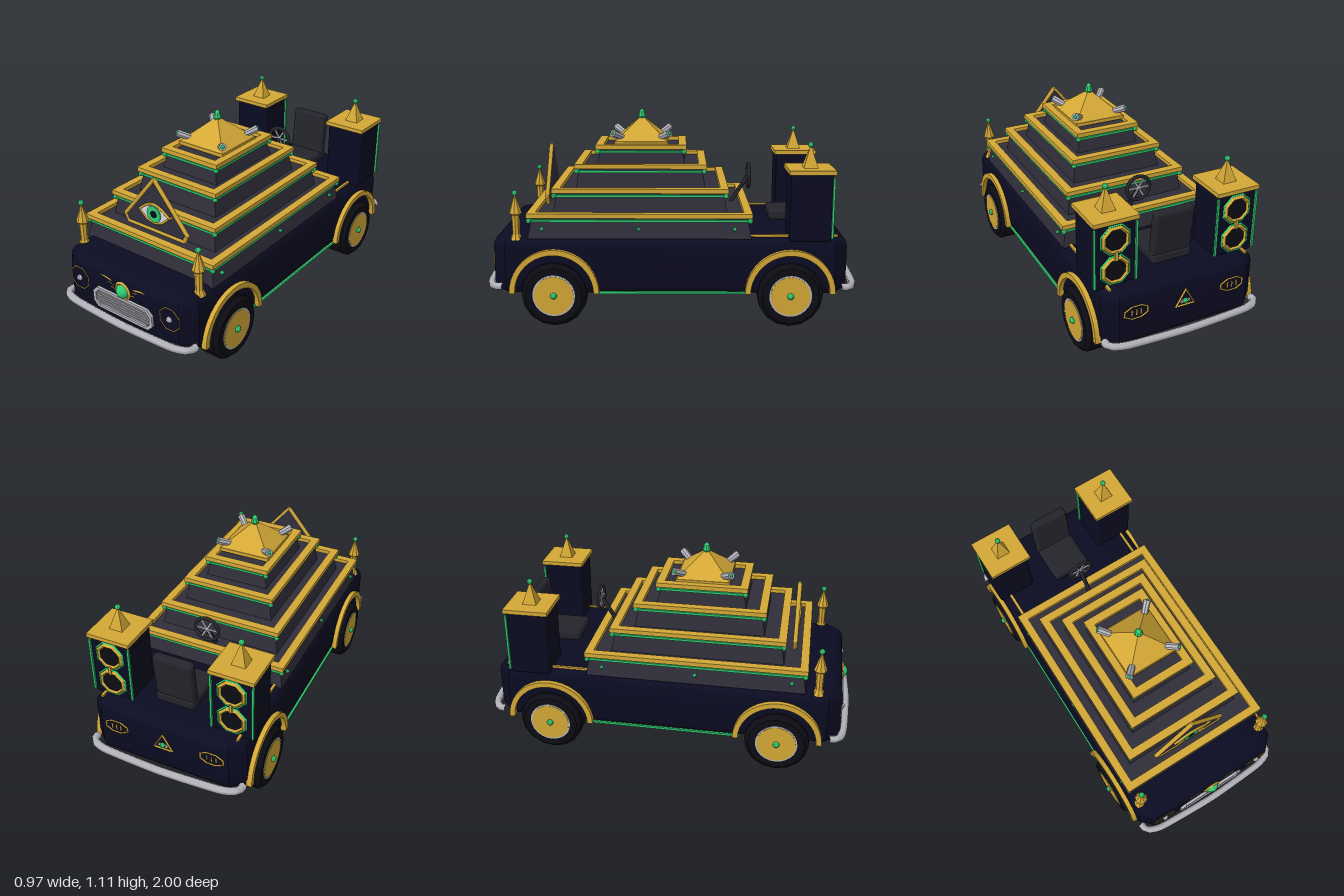
import * as THREE from 'three';
import { toCreasedNormals } from 'three/addons/utils/BufferGeometryUtils.js';
import { RoundedBoxGeometry } from 'three/addons/geometries/RoundedBoxGeometry.js';

const mat = (name, color, side = THREE.FrontSide) =>
  Object.assign(new THREE.MeshStandardMaterial({ color }), { name, side });
const V = (x, y, z) => new THREE.Vector3(x, y, z);

export function createModel() {
  const root = new THREE.Group();
  root.name = 'pyramidCar';
  const navy = mat('navy', 0x0b0b22), stone = mat('darkStone', 0x302e3a);
  const gold = mat('gold', 0xd4a836, THREE.DoubleSide), green = mat('emerald', 0x2ecc71);
  const silver = mat('silver', 0xb4b4bc), white = mat('eyeWhite', 0xd8d8e0, THREE.DoubleSide);
  const tyre = mat('tyreRubber', 0x0c0c14), leather = mat('seatLeather', 0x24242c);

  const add = (name, geo, m, x = 0, y = 0, z = 0, parent = root) => {
    const mesh = new THREE.Mesh(geo, m);
    mesh.name = name;
    mesh.position.set(x, y, z);
    parent.add(mesh);
    return mesh;
  };
  const flat = g => {
    const f = g.index ? g.toNonIndexed() : g;
    f.computeVertexNormals();
    return f;
  };
  const box = (w, h, d) => new THREE.BoxGeometry(w, h, d);
  const ball = r => flat(new THREE.IcosahedronGeometry(r, 1));
  // Tapered block standing on y = 0, given half sizes at the bottom and the top
  const frustum = (w0, d0, w1, d1, h) => {
    const g = box(2, h, 2).translate(0, h / 2, 0), p = g.attributes.position;
    for (let i = 0; i < p.count; i++) {
      const top = p.getY(i) > h / 2;
      p.setX(i, p.getX(i) * (top ? w1 : w0));
      p.setZ(i, p.getZ(i) * (top ? d1 : d0));
    }
    g.computeVertexNormals();
    return g;
  };
  const poly = pts => new THREE.Shape(pts.map(p => new THREE.Vector2(...p)));
  const extrude = (shape, depth) => new THREE.ExtrudeGeometry(shape, { depth, bevelEnabled: false });
  const rectPts = (w, d) => [[-w, -d], [w, -d], [w, d], [-w, d]];
  // Flat rectangular frame standing on y = 0
  const frame = (w, d, t, h) => {
    const s = poly(rectPts(w, d));
    s.holes.push(poly(rectPts(w - t, d - t)));
    return extrude(s, h).rotateX(-Math.PI / 2);
  };
  const ring = (r, t, n = 8) => flat(new THREE.TorusGeometry(r, t, 4, n).rotateZ(Math.PI / n));
  const tube = (pts, r, closed = false, n = 24) =>
    new THREE.TubeGeometry(new THREE.CatmullRomCurve3(pts.map(p => V(...p)), closed, 'catmullrom', 0.3), n, r, 6, closed);
  const rod = (a, b, r) => new THREE.TubeGeometry(new THREE.LineCurve3(V(...a), V(...b)), 1, r, 6);
  const chamfer = (w, h, c) => [[-w + c, -h], [w - c, -h], [w, -h + c], [w, h - c],
    [w - c, h], [-w + c, h], [-w, h - c], [-w, -h + c]];

  // Body: chamfered plan with rounded upper and lower edges
  const bodyGeo = new THREE.ExtrudeGeometry(poly(chamfer(0.43, 0.934, 0.07)), {
    depth: 0.193, bevelThickness: 0.06, bevelSize: 0.055, bevelOffset: -0.055, bevelSegments: 4,
  }).rotateX(-Math.PI / 2);
  add('body', toCreasedNormals(bodyGeo, 0.6), navy, 0, 0.225, 0.008);

  // Stepped pyramid: [half width, half depth, wall bottom, rim bottom]
  const cz = 0.167;
  const tiers = [[0.427, 0.588, 0.47, 0.58], [0.345, 0.466, 0.58, 0.695],
    [0.26, 0.353, 0.695, 0.81], [0.183, 0.245, 0.81, 0.904]];
  tiers.forEach(([w, d, y0, y1], i) => {
    add('tierWall', frustum(w - 0.005, d - 0.005, w - 0.025, d - 0.025, y1 - y0 + 0.004), stone, 0, y0, cz);
    add('tierRim', frame(w, d, 0.043, 0.024), gold, 0, y1, cz);
    add('tierGreenBand', frame(w - 0.01, d - 0.01, 0.02, 0.012), green, 0, y1 - 0.022, cz);
    for (const sx of [-1, 1]) {
      for (const sz of [-1, 1])
        add('cornerGem', ball(0.014), green, sx * (w - 0.012), y1 - 0.016, cz + sz * (d - 0.012));
      if (i === 0) for (const z of [-0.33, 0.17, 0.675])
        add('wallGem', ball(0.011), green, sx * 0.418, 0.522, z);
    }
  });

  // Cap with gem and four corner spotlights
  add('capBase', box(0.29, 0.02, 0.29), gold, 0, 0.93, cz);
  add('cap', frustum(0.145, 0.145, 0.002, 0.002, 0.13), gold, 0, 0.937, cz);
  const gemPts = [[0, 1.05], [0.016, 1.05], [0.023, 1.063], [0.014, 1.092], [0, 1.107]];
  add('capGem', flat(new THREE.LatheGeometry(gemPts.map(p => new THREE.Vector2(...p)), 8)), green, 0, 0, cz);
  for (const sx of [-1, 1]) for (const sz of [-1, 1]) {
    const at = (r, y) => [sx * r, y, cz + sz * r];
    const lamp = new THREE.CylinderGeometry(0.021, 0.018, 0.075, 8);
    const dir = V(sx, 0.6, sz).normalize();
    add('spotlight', flat(lamp), silver, ...at(0.128, 0.972)).quaternion.setFromUnitVectors(V(0, 1, 0), dir);
    add('spotlightGem', ball(0.013), green, ...at(0.149, 0.985));
  }

  // Eye panel
  const tri = [[0, 0.9], [0.205, 0.65], [0.185, 0.612], [-0.185, 0.612], [-0.205, 0.65]].reverse();
  add('eyePanel', extrude(poly(tri), 0.016), stone, 0, 0, 0.665);
  tri.forEach((a, i) => {
    const b = tri[(i + 1) % 5];
    add('eyePanelTrim', rod([...a, 0.675], [...b, 0.675], 0.012), gold);
    add('eyePanelJoint', ball(0.012), gold, ...a, 0.675);
  });
  const almond = new THREE.Shape();
  almond.moveTo(-0.098, 0).quadraticCurveTo(0, -0.1, 0.098, 0).quadraticCurveTo(0, 0.1, -0.098, 0);
  add('eyeWhite', extrude(almond, 0.006), white, 0, 0.712, 0.681);
  const disc = (r, h) => new THREE.CylinderGeometry(r, r, h, 20).rotateX(Math.PI / 2);
  add('iris', disc(0.045, 0.008), green, 0, 0.712, 0.688);
  add('pupil', disc(0.02, 0.006), navy, 0, 0.712, 0.691);
  add('upperLid', tube([[-0.1, 0.712, 0.685], [-0.05, 0.752, 0.687], [0, 0.767, 0.687],
    [0.05, 0.752, 0.687], [0.1, 0.715, 0.685]], 0.007), gold);
  add('lowerLid', tube([[-0.1, 0.712, 0.685], [-0.05, 0.674, 0.687], [0, 0.66, 0.687],
    [0.05, 0.674, 0.687], [0.095, 0.714, 0.685], [0.126, 0.734, 0.685]], 0.006), gold);

  // Wheels, arches and side trims
  const tyreProfile = [[0.08, -0.07], [0.15, -0.0725], [0.172, -0.05], [0.172, 0.05], [0.15, 0.0725], [0.08, 0.07]];
  const tyreGeo = flat(new THREE.LatheGeometry(tyreProfile.map(p => new THREE.Vector2(...p)), 16).rotateZ(-Math.PI / 2));
  const axle = (r, h, n) => new THREE.CylinderGeometry(r, r, h, n).rotateZ(Math.PI / 2);
  const arch = new THREE.Shape();
  arch.absarc(0, 0, 0.237, 0, Math.PI, false);
  arch.absarc(0, 0, 0.208, Math.PI, 0, true);
  const archGeo = new THREE.ExtrudeGeometry(arch, { depth: 0.03, bevelEnabled: false, curveSegments: 10 })
    .translate(0, 0, -0.015).rotateY(Math.PI / 2);
  for (const s of [-1, 1]) {
    for (const z of [0.617, -0.623]) {
      const wheel = new THREE.Group();
      wheel.name = 'wheel';
      wheel.position.set(s * 0.393, 0.173, z);
      root.add(wheel);
      add('tyre', tyreGeo, tyre, 0, 0, 0, wheel);
      add('wheelRim', axle(0.112, 0.146, 24), silver, 0, 0, 0, wheel);
      add('hubDisc', axle(0.104, 0.15, 24), gold, 0, 0, 0, wheel);
      add('hubGem', ball(0.018), green, s * 0.076, 0, 0, wheel);
      add('wheelArch', archGeo, gold, s * 0.44, 0.18, z);
    }
    add('sillStrip', box(0.012, 0.012, 0.83), green, s * 0.428, 0.18, 0);
    add('deckTrim', box(0.014, 0.012, 1.4), gold, s * 0.382, 0.48, -0.17);

    // Front corner finials
    const fin = [[0, 0], [0.034, 0], [0.02, 0.03], [0.022, 0.13], [0.034, 0.14], [0.03, 0.155], [0.004, 0.235], [0, 0.235]];
    add('cornerFinial', flat(new THREE.LatheGeometry(fin.map(p => new THREE.Vector2(...p)), 8)), gold, s * 0.388, 0.46, 0.815);
    add('finialGem', ball(0.015), green, s * 0.388, 0.707, 0.815);

    // Rear speaker towers
    const tx = s * 0.335, tz = -0.72;
    add('tower', new RoundedBoxGeometry(0.22, 0.36, 0.215, 2, 0.015), navy, tx, 0.64, tz);
    add('towerRoof', box(0.24, 0.022, 0.24), gold, tx, 0.825, tz);
    add('towerSpire', frustum(0.038, 0.038, 0.003, 0.003, 0.11), gold, tx, 0.835, tz);
    add('spireGem', ball(0.015), green, tx, 0.954, tz);
    for (const e of [-1, 1])
      add('towerStrip', box(0.011, 0.32, 0.011), green, tx + e * 0.111, 0.64, tz - 0.11);
    for (const y of [0.56, 0.725]) {
      add('speakerRing', ring(0.066, 0.011), gold, tx, y, tz - 0.112);
      add('speakerGlow', ring(0.081, 0.006), green, tx, y, tz - 0.11);
      add('speakerCone', new THREE.CylinderGeometry(0.06, 0.06, 0.008, 8).rotateX(Math.PI / 2), tyre, tx, y, tz - 0.11);
    }
    add('towerBar', box(0.014, 0.05, 0.02), gold, tx, 0.642, tz - 0.115);

    // Headlamps and rear lamps
    add('headlampTrim', ring(0.066, 0.003), gold, s * 0.305, 0.35, 0.942);
    add('headlampBulb', ball(0.017), silver, s * 0.305, 0.35, 0.942);
    add('rearLampTrim', ring(0.068, 0.006), gold, s * 0.27, 0.36, -0.927).scale.y = 0.55;
    for (const dx of [-0.025, 0, 0.025])
      add('rearLampBar', box(0.006, 0.03, 0.006), gold, s * 0.27 + dx, 0.36, -0.927);

    // Emblem wings
    [[0.425, 0.437, 0.428], [0.405, 0.418, 0.39], [0.385, 0.395, 0.362]].forEach(([a, b, c], i) => {
      const L = 0.2 - i * 0.035;
      add('emblemWing', tube([[s * 0.035, a - 0.015, 0.935], [s * L * 0.55, b - 0.01, 0.937], [s * L, c, 0.93]], 0.006, false, 10), gold);
    });
  }

  // Grille and emblem
  const surround = poly(chamfer(0.2, 0.06, 0.03));
  surround.holes.push(poly(chamfer(0.182, 0.046, 0.024)));
  add('grilleFrame', extrude(surround, 0.02), silver, 0, 0.293, 0.936);
  add('grilleBack', extrude(poly(chamfer(0.185, 0.048, 0.025)), 0.004), tyre, 0, 0.293, 0.94);
  for (let i = 0; i < 6; i++)
    add('grilleSlat', box(i % 5 ? 0.36 : 0.325, 0.009, 0.01), silver, 0, 0.256 + i * 0.015, 0.945);
  add('emblemGem', new THREE.SphereGeometry(0.039, 16, 12), green, 0, 0.388, 0.935);
  add('emblemRing', ring(0.044, 0.009, 16), gold, 0, 0.388, 0.942);

  // Rear triangle badge
  add('rearBadge', flat(new THREE.TorusGeometry(0.06, 0.008, 4, 3).rotateZ(Math.PI / 2)), gold, 0, 0.35, -0.928);
  add('rearBadgePlate', box(0.05, 0.018, 0.008), silver, 0, 0.342, -0.926);
  add('rearBadgeGem', ball(0.014), green, 0, 0.345, -0.931);

  // Bumpers
  for (const s of [-1, 1])
    add('bumper', tube([[-0.425, 0.21, s * 0.89], [-0.415, 0.21, s * 0.935], [-0.33, 0.21, s * 0.965], [0, 0.21, s * 0.98],
      [0.33, 0.21, s * 0.965], [0.415, 0.21, s * 0.935], [0.425, 0.21, s * 0.89]], 0.021, false, 30), silver);

  // Seat and steering wheel
  add('seatCushion', new RoundedBoxGeometry(0.22, 0.06, 0.26, 2, 0.02), leather, 0, 0.525, -0.665);
  add('seatBack', new RoundedBoxGeometry(0.22, 0.29, 0.055, 2, 0.02), leather, 0, 0.645, -0.77).rotation.x = -0.1;
  add('steeringColumn', rod([0, 0.56, -0.32], [0, 0.73, -0.425], 0.012), leather);
  add('steeringWheel', new THREE.TorusGeometry(0.066, 0.01, 8, 20), leather, 0, 0.73, -0.428);
  for (let i = 0; i < 3; i++)
    add('steeringSpoke', box(0.126, 0.01, 0.008), silver, 0, 0.73, -0.428).rotation.z = i * Math.PI / 3;
  return root;
}
